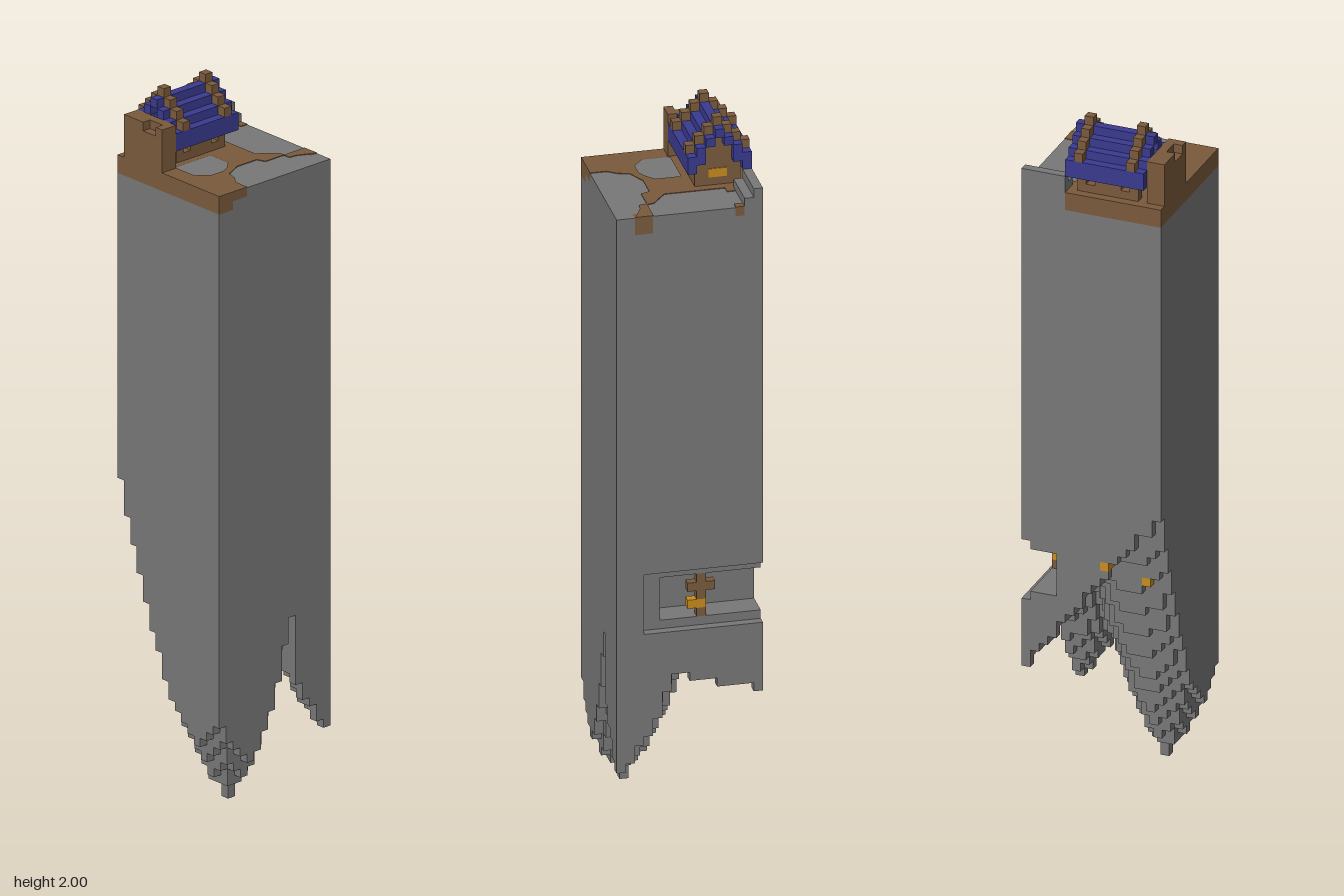
import * as THREE from 'three';

const V = 2 / 79;            // block size
const N = 16;                // blocks across
const TOP = 71;              // ground level in blocks
const HEIGHT = 79;
const at = (n) => (n + 0.5 - N / 2) * V;

const mat = (name, color) => {
  const m = new THREE.MeshStandardMaterial({ color });
  m.name = name;
  return m;
};

// Height of the ragged underside: three hanging points, each widening upward
function underside(i, k) {
  const x = at(i), z = at(k);
  if (i >= 14 && k === 5) return 20;
  const dz = z - at(11);
  const d1 = Math.hypot(x - at(12), dz < 0 ? dz * 1.4 : dz);
  const d2 = Math.hypot(x - at(15), z - at(0));
  const tip = 1.5 * d1 + 3.6 * d1 * d1;
  const backSpur = 0.16 + 0.8 * d2 + 7 * d2 * d2;
  const leftSpur = 0.36 + 0.3 * (x - at(0)) + 1.35 * (z - at(0));
  return Math.round(Math.min(tip, backSpur, leftSpur) / V);
}

// Stepped cave opening in the back face
function inCave(i, j, k) {
  if (i > 12 || j < 22 || j > 28) return false;
  const edge = i > 10 || j === 28 || j === 22;
  return k < (edge ? 1 : 4);
}

// Post and lamp inside the cave
function cavePart(i, j, k) {
  if (k !== 1) return null;
  if (i === 6 && j >= 23 && j <= 28) return j === 24 ? 'caveLamp' : 'cavePost';
  if (i === 7 && j === 24) return 'caveLamp';
  if (j === 26 && (i === 5 || i === 7)) return 'cavePost';
  return null;
}

// Small gabled house on top of the ground
function housePart(i, j, k) {
  const d = Math.abs(i - 3);
  if (i < 7 && k >= 5 && k <= 13) {
    const t = 77 - d;                       // roof step at this column
    const beam = k === 6 || k === 12;
    if (beam && j === t + 1) return 'roofBeams';
    if (j === t || (j === t - 1 && d > 1)) return 'roof';
    if (k === 6 && i >= 1 && i <= 5 && j < t) return 'houseWalls';
    if (k === 12 && (i === 1 || i === 5) && j < t) return 'houseWalls';
    if (k >= 8 && k <= 10 && i >= 1 && i <= 5 && j < 73) return 'houseWalls';
    if (k > 6 && k < 12 && (i === 1 || i === 5) && j === 71) return 'houseWalls';
  }
  // Front wall with a small notch
  if (k >= 14 && i >= 1 && i <= 6 && j <= 75) {
    return k === 15 && (i === 4 || i === 5) && j === 75 ? null : 'houseWalls';
  }
  // Low stone ledge behind the house
  if (k < 5 && (i === 0 ? j <= 72 : i === 1 && j === 71)) return 'ledge';
  return null;
}

// Soil along the rim of the ground
function isSoil(i, j, k) {
  if (j < 69) return false;
  if (k >= 14 || (i === 0 && k >= 5)) return true;
  if (k >= 12 && i >= 14 && j === 70) return true;
  return k === 0 && (i === 12 || i === 13 || (i === 2 && j === 70));
}

const isOre = (i, j) => (j === 27 && i < 2) || (j === 25 && (i === 2 || i === 3)) || (j === 20 && i === 3);

function partAt(i, j, k) {
  if (i < 0 || k < 0 || j < 0 || i >= N || k >= N || j >= HEIGHT) return null;
  if (j >= TOP) return housePart(i, j, k);
  if (j < underside(i, k)) return null;
  if (inCave(i, j, k)) return cavePart(i, j, k);
  if (isSoil(i, j, k)) return 'soilRim';
  if (isOre(i, j) && k > 3 && k < 15 && j < underside(i, k + 1)) return 'ore';
  return 'rock';
}

// Collects the exposed block faces of every part
function buildBlocks() {
  const parts = {};
  for (let i = 0; i < N; i++) for (let k = 0; k < N; k++) for (let j = 0; j < HEIGHT; j++) {
    const name = partAt(i, j, k);
    if (!name) continue;
    const out = (parts[name] ??= []);
    for (let a = 0; a < 3; a++) for (const s of [0, 1]) {
      const next = [i, j, k];
      next[a] += s ? 1 : -1;
      if (partAt(...next)) continue;
      const corner = (u, v) => {
        const p = [i, j, k];
        p[a] += s;
        p[(a + 1) % 3] += u;
        p[(a + 2) % 3] += v;
        return [(p[0] - N / 2) * V, p[1] * V, (p[2] - N / 2) * V];
      };
      const q = [corner(0, 0), corner(1, 0), corner(1, 1), corner(0, 1)];
      if (!s) q.reverse();
      for (const n of [0, 1, 2, 0, 2, 3]) out.push(...q[n]);
    }
  }
  return parts;
}

export function createModel() {
  const group = new THREE.Group();
  const stone = mat('stone grey', 0x777777);
  const earth = mat('earth brown', 0x7a5a3c);
  const blue = mat('roof blue', 0x3a3a90);
  const gold = mat('gold', 0xc88c1e);
  const add = (name, geometry, material) => {
    const mesh = new THREE.Mesh(geometry, material);
    mesh.name = name;
    group.add(mesh);
    return mesh;
  };

  // Rock pillar, soil, cave contents and house
  const colours = {
    rock: stone, ledge: stone, soilRim: earth, ore: gold, cavePost: earth,
    caveLamp: gold, houseWalls: earth, roofBeams: earth, roof: blue,
  };
  for (const [name, points] of Object.entries(buildBlocks())) {
    const g = new THREE.BufferGeometry();
    g.setAttribute('position', new THREE.Float32BufferAttribute(points, 3));
    g.computeVertexNormals();
    add(name, g, colours[name]);
  }

  // Dirt path painted on the ground, as a thin plate
  const e = N / 2 * V;
  const toPoints = (list) => list.map(([x, z]) => new THREE.Vector2(x, -z));
  const path = new THREE.Shape(toPoints([
    [0.1, -e], [0.15, -e], [0.125, -0.15], [0.122, -0.128], [0.1, -0.125], [0.1, -0.06],
    [0.075, -0.05], [0.075, 0.02], [0.1, 0.072], [0.13, 0.08], [0.157, 0.1], [e, 0.1],
    [e, e], [-e, e], [-e, -0.076], [0.04, -0.076], [0.06, -0.1], [0.08, -0.125], [0.1, -0.13],
  ]));
  path.holes.push(new THREE.Path(toPoints([
    [-0.03, 0.022], [0.04, 0.022], [0.065, 0.05], [0.075, 0.07], [0.075, 0.115], [0.045, 0.15], [-0.03, 0.15],
  ])));
  const patches = [[-e, -0.18], [-0.1, -0.076]].map(([z0, z1]) =>
    new THREE.Shape(toPoints([[-0.152, z0], [-0.128, z0], [-0.128, z1], [-0.152, z1]])));
  const plate = new THREE.ExtrudeGeometry([path, ...patches], { depth: 0.002, bevelEnabled: false });
  plate.rotateX(-Math.PI / 2);
  add('dirtPath', plate, earth).position.y = TOP * V;

  // Lit window on the back wall of the house
  const pane = add('window', new THREE.BoxGeometry(V * 2, V, 0.004), gold);
  pane.position.set(at(3), 72.5 * V, at(6) - V / 2);

  return group;
}
